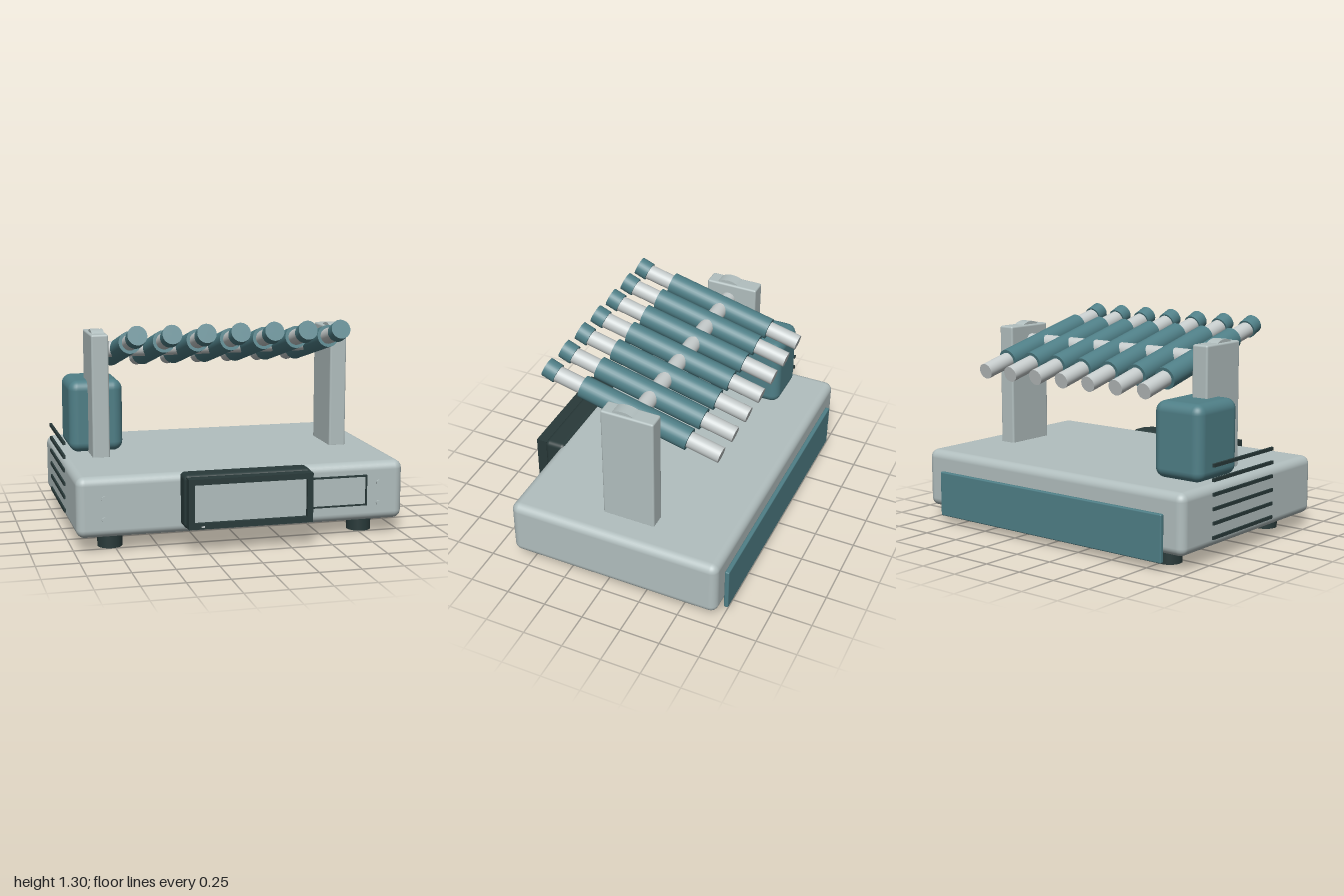
import * as THREE from 'three';
import { RoundedBoxGeometry } from 'three/addons/geometries/RoundedBoxGeometry.js';

export function createModel() {
  const model = new THREE.Group();
  model.name = 'tubeRocker';
  const mat = (name, color) => {
    const m = new THREE.MeshStandardMaterial({ color });
    m.name = name;
    return m;
  };
  const shell = mat('shell grey', 0xb2bfbf);
  const steel = mat('steel', 0xc6cccc);
  const teal = mat('teal', 0x4f7f87);
  const dark = mat('dark rubber', 0x293a3a);

  const add = (name, geo, material, x, y, z, parent = model) => {
    const mesh = new THREE.Mesh(geo, material);
    mesh.name = name;
    mesh.position.set(x, y, z);
    parent.add(mesh);
    return mesh;
  };
  // Box given by its extents, optionally rounded
  const box = (name, material, [x0, x1], [y0, y1], [z0, z1], r = 0) => {
    const s = [x1 - x0, y1 - y0, z1 - z0];
    const geo = r ? new RoundedBoxGeometry(...s, 4, r) : new THREE.BoxGeometry(...s);
    return add(name, geo, material, (x0 + x1) / 2, (y0 + y1) / 2, (z0 + z1) / 2);
  };
  const rod = (r, len, axis) => {
    const geo = new THREE.CylinderGeometry(r, r, len, 32);
    if (axis === 'x') geo.rotateZ(Math.PI / 2);
    if (axis === 'z') geo.rotateX(Math.PI / 2);
    return geo;
  };
  // Flat rectangular frame with an opening, extruded along z
  const frame = (name, [x0, x1], [y0, y1], [z0, z1], t) => {
    const rect = (P, d) => new P().moveTo(x0 + d, y0 + d).lineTo(x1 - d, y0 + d)
      .lineTo(x1 - d, y1 - d).lineTo(x0 + d, y1 - d).closePath();
    const shape = rect(THREE.Shape, 0);
    shape.holes.push(rect(THREE.Path, t));
    const geo = new THREE.ExtrudeGeometry(shape, { depth: z1 - z0, bevelEnabled: false });
    return add(name, geo, dark, 0, 0, z0);
  };

  // Housing, feet and rear panel
  const cx = 0.003;
  box('base', shell, [-0.99, 0.996], [0.09, 0.45], [-0.74, 0.6], 0.05);
  for (const s of [-1, 1]) {
    for (const z of [0.425, -0.565]) add('foot', rod(0.074, 0.1), dark, cx + s * 0.775, 0.05, z);
  }
  box('rearPanel', teal, [-0.86, 0.866], [0.045, 0.325], [-0.766, -0.738], 0.008);

  // Motor box behind one post
  box('motorBox', teal, [-0.92, -0.585], [0.447, 0.895], [-0.49, -0.1], 0.06);

  // Posts with bearing rollers showing at the top
  const axisY = 1.093, axisZ = -0.07;
  for (const s of [-1, 1]) {
    const x = cx + s * 0.756;
    box('post', shell, [x - 0.053, x + 0.053], [0.44, 1.2], [-0.265, 0.065], 0.012);
    add('bearing', rod(0.127, 0.076, 'x'), shell, x, axisY, axisZ);
  }
  add('axle', rod(0.049, 1.48, 'x'), steel, cx, axisY, -0.08);

  // Row of tilted tube holders, each with a capped tube
  for (let i = -3; i <= 3; i++) {
    const g = new THREE.Group();
    g.name = 'tubeAssembly';
    g.position.set(0.005 + i * 0.2045, axisY, -0.066);
    g.rotation.x = -THREE.MathUtils.degToRad(13.9);
    add('tube', rod(0.048, 1.095, 'z'), steel, 0, 0, 0, g);
    add('sleeve', rod(0.067, 0.69, 'z'), teal, 0, 0, 0, g);
    const cap = add('cap', rod(0.058, 0.078, 'z'), teal, 0, 0.006, 0.55, g);
    cap.rotation.x = -THREE.MathUtils.degToRad(8);
    model.add(g);
  }

  // Display unit: body, bezel, screen and indicator
  box('displayBody', dark, [-0.382, 0.386], [0.137, 0.456], [0.56, 0.7], 0.03);
  frame('bezel', [-0.37, 0.374], [0.15, 0.445], [0.69, 0.76], 0.035);
  box('screen', shell, [-0.335, 0.339], [0.185, 0.41], [0.69, 0.735]);
  box('indicator', steel, [-0.297, -0.277], [0.161, 0.169], [0.755, 0.766]);

  // Label panel and screws on the front
  frame('labelFrame', [0.38, 0.76], [0.19, 0.376], [0.595, 0.617], 0.009);
  box('labelPanel', shell, [0.38, 0.752], [0.198, 0.368], [0.595, 0.608]);
  for (const s of [-1, 1]) {
    for (const y of [0.2, 0.325]) add('screw', rod(0.015, 0.02, 'z'), shell, cx + s * 0.835, y, 0.602);
  }

  // Side louvres
  for (let i = 0; i < 6; i++) {
    const y = 0.15 + i * 0.083;
    box('louvre', dark, [-1, -0.985], [y - 0.01, y + 0.01], [-0.46, 0.148]);
  }
  return model;
}
